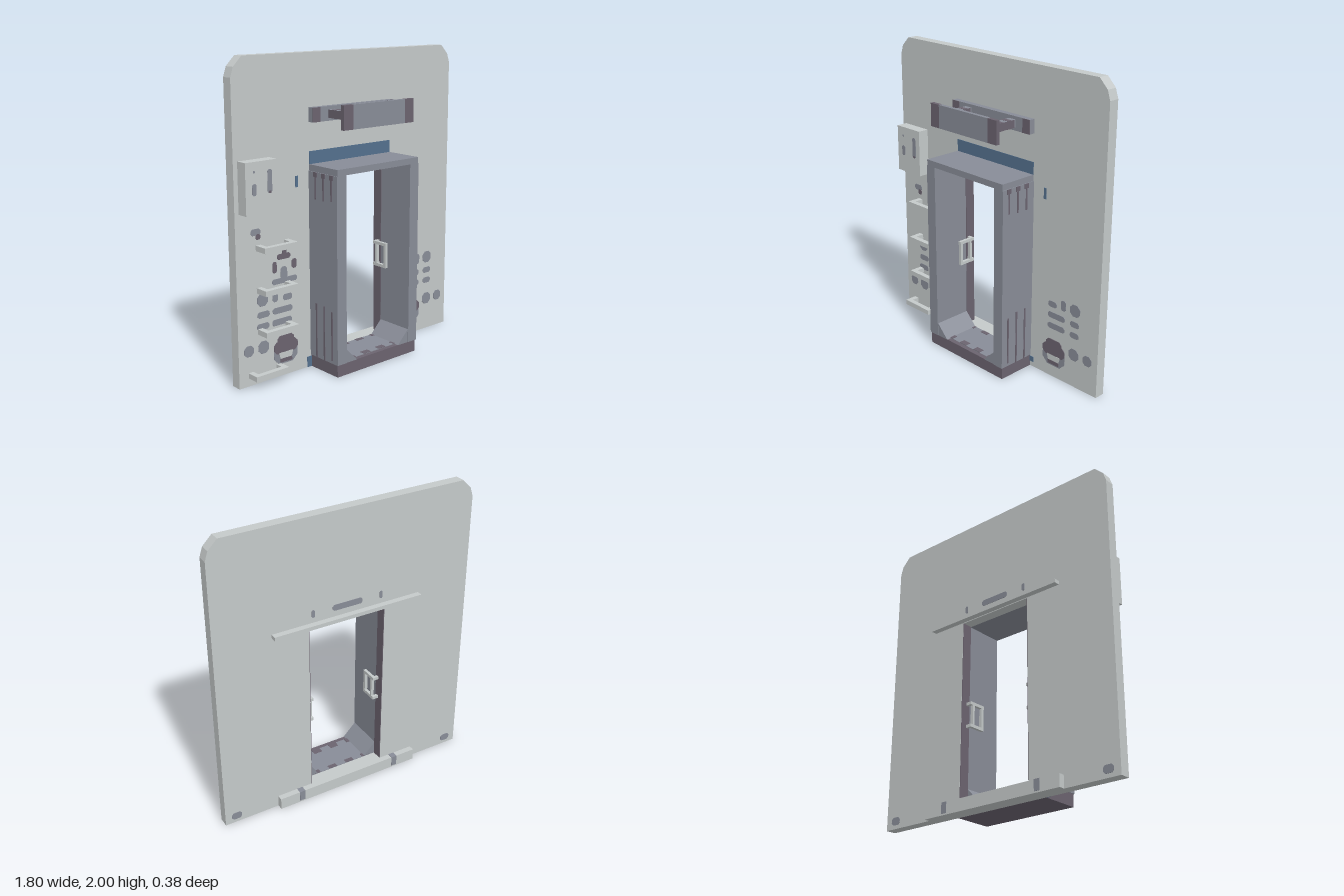
import * as THREE from 'three';

const material = (name, color) => {
  const m = new THREE.MeshStandardMaterial({ color });
  m.name = name;
  return m;
};

export function createModel() {
  const light = material('light grey', 0xc4c9c9);
  const grey = material('mid grey', 0x888c97);
  const dark = material('dark mauve', 0x6b636f);
  const blue = material('steel blue', 0x54708e);
  const model = new THREE.Group();
  model.name = 'endWallWithDoorway';

  const add = (name, geometry, mat) => {
    const mesh = new THREE.Mesh(geometry, mat);
    mesh.name = name;
    model.add(mesh);
    return mesh;
  };
  // Box given by its limits on each axis
  const box = (name, mat, x0, x1, y0, y1, z0, z1) => {
    const g = new THREE.BoxGeometry(x1 - x0, y1 - y0, z1 - z0);
    g.translate((x0 + x1) / 2, (y0 + y1) / 2, (z0 + z1) / 2);
    return add(name, g, mat);
  };
  const outline = (pts) => new THREE.Shape(pts.map(([x, y]) => new THREE.Vector2(x, y)));
  const slab = (name, mat, shape, z0, z1) => {
    const g = new THREE.ExtrudeGeometry(shape, { depth: z1 - z0, bevelEnabled: false });
    g.translate(0, 0, z0);
    return add(name, g, mat);
  };
  // Thin painted plate with clipped corners, centred on (x, y)
  const mark = (name, mat, x, y, w, h, z = -0.08, t = 0.003) => {
    const a = w / 2, b = h / 2, c = Math.min(w, h) * 0.28;
    slab(name, mat, outline([
      [x - a, y - b + c], [x - a + c, y - b], [x + a - c, y - b], [x + a, y - b + c],
      [x + a, y + b - c], [x + a - c, y + b], [x - a + c, y + b], [x - a, y + b - c],
    ]), z, z + t);
  };

  // End wall: lower part with the doorway, upper part with clipped corners
  const lower = outline([[-0.9, 0], [0.9, 0], [0.9, 1.4], [-0.9, 1.4]]);
  lower.holes.push(new THREE.Path(
    [[-0.27, 0.08], [-0.27, 1.28], [0.27, 1.28], [0.27, 0.08]].map(([x, y]) => new THREE.Vector2(x, y))));
  slab('lowerWall', light, lower, -0.15, -0.08);
  slab('upperWall', light, outline([
    [-0.9, 1.4], [0.9, 1.4], [0.9, 1.88], [0.88, 1.94], [0.82, 2],
    [-0.82, 2], [-0.88, 1.94], [-0.9, 1.88],
  ]), -0.15, -0.08);

  // Gangway frame, sill and floor
  box('gangwayTop', grey, -0.34, 0.34, 1.28, 1.32, -0.08, 0.187);
  box('gangwaySill', dark, -0.34, 0.34, 0, 0.08, -0.08, 0.18);
  box('gangwayFloor', grey, -0.27, 0.27, 0.08, 0.083, -0.08, 0.15);
  for (const x of [-0.19, -0.06, 0.07, 0.2]) {
    box('floorWear', dark, x - 0.03, x + 0.03, 0.083, 0.085, 0.11, 0.15);
    box('floorWear', dark, x - 0.04, x + 0.02, 0.083, 0.085, -0.08, -0.05);
  }
  box('lintelStripe', blue, -0.34, 0.34, 1.32, 1.4, -0.08, -0.077);

  for (const s of [-1, 1]) {
    // Box on either side, mirrored by s
    const side = (name, mat, x0, x1, ...rest) =>
      box(name, mat, Math.min(s * x0, s * x1), Math.max(s * x0, s * x1), ...rest);
    side('gangwaySide', grey, 0.27, 0.345, 0.08, 1.28, -0.08, 0.187);
    side('doorJamb', dark, 0.266, 0.27, 0.08, 1.28, -0.149, -0.08);
    const corner = [[s * 0.27, 0.08], [s * 0.27, 0.17], [s * 0.18, 0.08]];
    slab('cornerGusset', grey, outline(corner), -0.08, 0.183);

    // Thin strips on the outside of the frame
    for (const [z, a, b, c, d] of [[0.135, 0.1, 0.42, 1.12, 1.28], [0.06, 0.08, 0.44, 1.11, 1.28], [-0.015, 0.08, 0.44, 1.11, 1.28]]) {
      side('frameStrip', dark, 0.345, 0.348, a, b, z - 0.006, z + 0.006);
      side('frameStrip', dark, 0.345, 0.348, c, d, z - 0.006, z + 0.006);
      side('stripHead', dark, 0.345, 0.349, 1.25, 1.28, z - 0.017, z + 0.017);
    }

    // Door handle: two stubs carrying a rectangular loop
    for (const y of [0.57, 0.72]) {
      side('handleStub', light, 0.23, 0.27, y - 0.01, y + 0.01, -0.11, -0.09);
      side('handleArm', light, 0.225, 0.245, y - 0.01, y + 0.01, -0.11, 0.01);
    }
    side('handleGrip', light, 0.225, 0.245, 0.56, 0.73, -0.01, 0.01);
    side('handleGrip', light, 0.225, 0.245, 0.57, 0.72, -0.09, -0.075);

    // Upper buffer arms with bands
    side('bufferArm', grey, 0.165, 0.22, 1.6, 1.65, -0.04, 0.165);
    for (const z of [0.01, 0.078, 0.145])
      side('armBand', dark, 0.163, 0.222, 1.599, 1.651, z - 0.016, z + 0.016);
    for (const x of [0.163, 0.22])
      side('armCheek', dark, x, x + 0.002, 1.6, 1.65, -0.03, 0.11);
    side('bufferPlateEnd', dark, 0.215, 0.29, 1.55, 1.7, 0.165, 0.19);
    side('backPlateEnd', dark, 0.28, 0.34, 1.58, 1.67, -0.04, -0.037);

    side('blueTag', blue, 0.43, 0.45, 1.19, 1.26, -0.08, -0.077);

    // Socket painted on the wall
    const x = s * 0.545;
    mark('socketBody', grey, x, 0.15, 0.185, 0.14, -0.08, 0.002);
    mark('socketCap', dark, x, 0.23, 0.13, 0.07, -0.08, 0.004);
    mark('socketHood', dark, x, 0.19, 0.185, 0.08, -0.08, 0.004);
    slab('socketFace', light, outline([[x - 0.04, 0.1], [x + 0.04, 0.1], [x + 0.055, 0.155], [x - 0.055, 0.155]]), -0.08, -0.075);
    box('socketLip', dark, x - 0.045, x + 0.045, 0.09, 0.115, -0.08, -0.074);

    // Rear marks
    mark('rearTick', grey, s * 0.24, 1.37, 0.02, 0.05, -0.153);
    mark('rearCornerMark', grey, s * 0.82, 0.05, 0.07, 0.05, -0.153);
    side('railBand', grey, 0.34, 0.38, 0.01, 0.081, -0.192, -0.15);
  }
  box('bufferPlate', grey, -0.215, 0.215, 1.55, 1.7, 0.165, 0.19);
  box('bufferBackPlate', grey, -0.34, 0.34, 1.58, 1.67, -0.08, -0.04);
  box('blueFoot', blue, -0.375, -0.34, 0, 0.07, -0.08, -0.076);
  box('blueFoot', blue, 0.34, 0.372, 0.035, 0.07, -0.08, -0.076);

  // Rear rails
  box('rearTopRail', light, -0.52, 0.52, 1.285, 1.31, -0.19, -0.15);
  box('rearBottomRail', light, -0.52, 0.52, 0, 0.08, -0.19, -0.15);
  mark('rearOval', grey, 0, 1.37, 0.21, 0.04, -0.153);

  // Equipment box
  box('equipmentBox', light, -0.87, -0.645, 1.085, 1.4, -0.08, -0.003);
  mark('boxMark', grey, -0.81, 1.235, 0.03, 0.07, -0.003);
  mark('boxMark', grey, -0.81, 1.34, 0.012, 0.015, -0.003);
  mark('boxMark', grey, -0.698, 1.275, 0.032, 0.14, -0.003);
  mark('boxMarkFoot', dark, -0.698, 1.21, 0.02, 0.015, -0.003, 0.004);

  // Ladder steps
  for (const [x, y, z] of [[-0.755, 0.86, 0.015], [-0.755, 0.595, 0.015], [-0.755, 0.333, 0.015], [-0.83, 0.068, 0.005]]) {
    const a = y - 0.016, b = y + 0.018;
    box('stepTread', light, x, x + 0.245, a, b, z - 0.035, z);
    box('stepBracket', light, x, x + 0.035, a, b, -0.08, z - 0.035);
    box('stepBracket', light, x + 0.21, x + 0.245, a, b, -0.08, z - 0.035);
  }

  // Painted fittings on the wall: x, y, width, height
  const greyMarks = [
    [-0.825, 0.225, 0.07, 0.07], [-0.715, 0.225, 0.08, 0.08],
    [-0.715, 0.36, 0.09, 0.04], [-0.57, 0.36, 0.15, 0.04],
    [-0.71, 0.435, 0.09, 0.04], [-0.565, 0.435, 0.15, 0.04],
    [-0.715, 0.53, 0.08, 0.08], [-0.62, 0.53, 0.04, 0.07], [-0.525, 0.51, 0.07, 0.04],
    [-0.545, 0.622, 0.19, 0.035], [-0.55, 0.67, 0.05, 0.08], [-0.755, 0.96, 0.07, 0.04],
    [0.525, 0.51, 0.07, 0.04], [0.615, 0.53, 0.04, 0.07], [0.71, 0.53, 0.08, 0.08],
    [0.56, 0.435, 0.14, 0.04], [0.71, 0.435, 0.07, 0.04],
    [0.56, 0.36, 0.14, 0.04], [0.71, 0.36, 0.07, 0.04],
    [0.71, 0.225, 0.08, 0.08], [0.82, 0.225, 0.07, 0.07],
  ];
  for (const m of greyMarks) mark('wallFitting', grey, ...m);
  const darkMarks = [
    [-0.55, 0.775, 0.1, 0.035], [-0.545, 0.805, 0.03, 0.04],
    [-0.62, 0.715, 0.03, 0.07], [-0.47, 0.715, 0.035, 0.06], [-0.738, 0.93, 0.035, 0.035],
  ];
  for (const m of darkMarks) mark('darkFitting', dark, ...m, -0.08, 0.004);

  return model;
}
